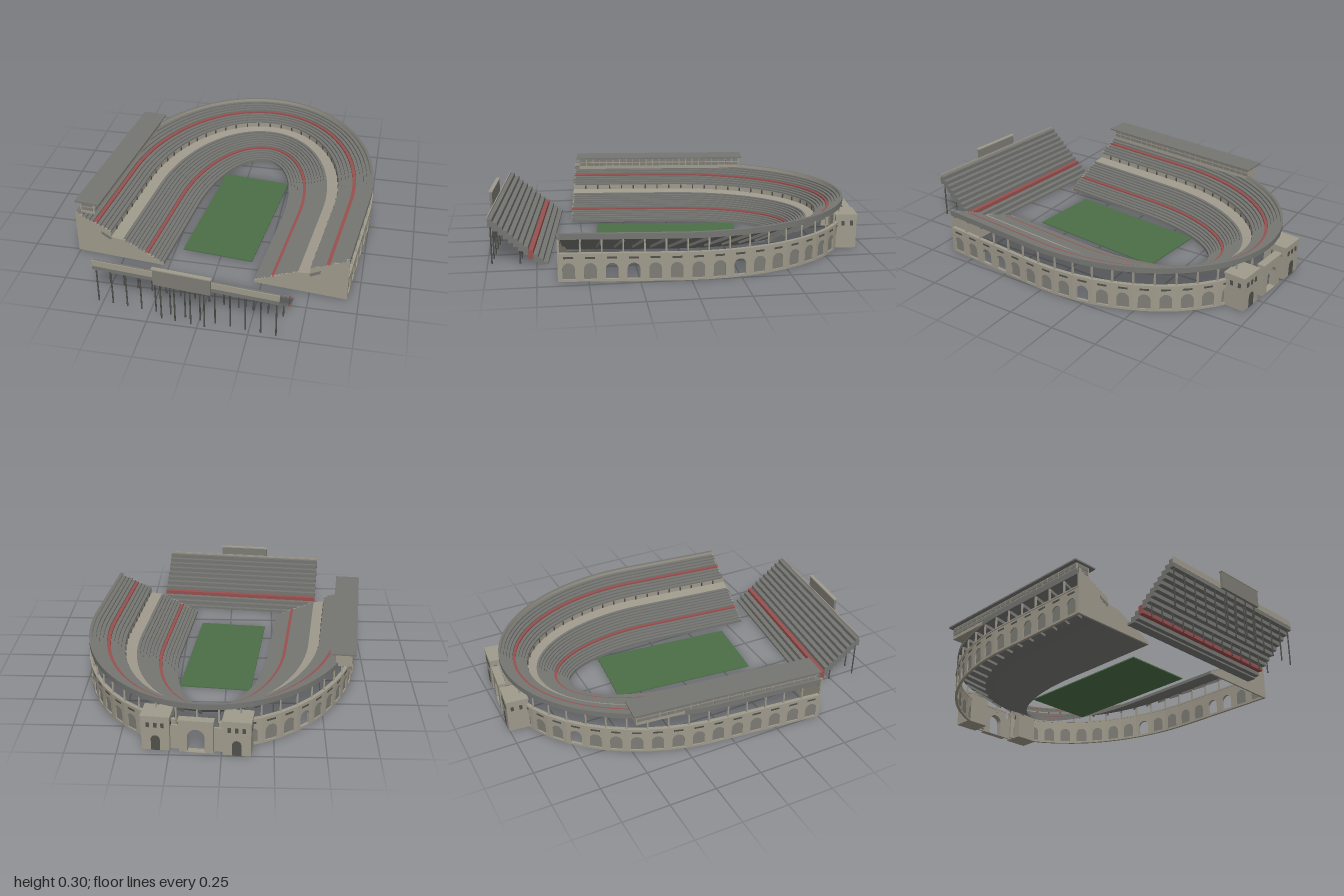
import * as THREE from 'three';

const mat = (name, color) => {
  const m = new THREE.MeshStandardMaterial({ color });
  m.name = name;
  return m;
};

export function createModel() {
  const seat = mat('seat grey', 0x757572);
  const concrete = mat('concrete', 0x9f9a8c);
  const red = mat('red row', 0x97504e);
  const grass = mat('grass', 0x4c6f48);
  const dark = mat('dark opening', 0x50504b);
  const panel = mat('panel grey', 0x7d7c75);
  const model = new THREE.Group();
  const site = new THREE.Group();
  site.name = 'stadium';
  site.position.set(0.023, 0, 0.002);
  site.rotation.y = -0.1;
  model.add(site);

  const add = (parent, name, geo, m, x = 0, y = 0, z = 0) => {
    const mesh = new THREE.Mesh(geo, m);
    mesh.name = name;
    mesh.position.set(x, y, z);
    parent.add(mesh);
    return mesh;
  };
  // Box given by its limits
  const box = (parent, name, m, x0, x1, y0, y1, z0, z1) =>
    add(parent, name, new THREE.BoxGeometry(x1 - x0, y1 - y0, z1 - z0), m,
      (x0 + x1) / 2, (y0 + y1) / 2, (z0 + z1) / 2);

  // Horseshoe plan: t = 0 at the inner edge, 1 at the outer edge
  const END = 0.576, N = 72;
  const halfW = t => 0.246 + 0.483 * t;
  const ring = t => {
    const a = halfW(t), b = 0.58 + 0.365 * t, pts = [[-a, END]];
    for (let i = 0; i <= N; i++) {
      const f = Math.PI * i / N;
      pts.push([-a * Math.cos(f), -b * Math.sin(f)]);
    }
    pts.push([a, END]);
    return pts;
  };

  // Sweep a list of profile segments [t0, y0, t1, y1] round the horseshoe
  const sweep = (name, segs, m) => {
    const pos = [], idx = [];
    for (const [t0, y0, t1, y1] of segs) {
      const base = pos.length / 3, r0 = ring(t0), r1 = ring(t1), n = r0.length;
      r0.forEach(p => pos.push(p[0], y0, p[1]));
      r1.forEach(p => pos.push(p[0], y1, p[1]));
      for (let i = 0; i < n - 1; i++) {
        const a = base + i, c = a + n;
        idx.push(a, a + 1, c, a + 1, c + 1, c);
      }
    }
    const g = new THREE.BufferGeometry();
    g.setAttribute('position', new THREE.Float32BufferAttribute(pos, 3));
    g.setIndex(idx);
    g.computeVertexNormals();
    add(site, name, g, m);
  };

  // Seating profile: lower rows, walkway, wall, upper rows, rim
  const grey = [], redSegs = [], beige = [], outline = [[0, 0]];
  const to = (list, t, y) => {
    list.push([...outline[outline.length - 1], t, y]);
    outline.push([t, y]);
  };
  const rows = (n, t0, t1, y0, y1, redRow) => {
    for (let i = 0; i < n; i++) {
      const list = i === redRow ? redSegs : grey;
      to(list, t0 + (t1 - t0) * i / n, y0 + (y1 - y0) * (i + 1) / n);
      to(list, t0 + (t1 - t0) * (i + 1) / n, y0 + (y1 - y0) * (i + 1) / n);
    }
  };
  rows(13, 0, 0.47, 0.008, 0.115, 5);
  to(beige, 0.6, 0.122);
  to(beige, 0.6, 0.148);
  rows(9, 0.6, 0.965, 0.148, 0.228, 4);
  to(beige, 0.965, 0.245);
  to(grey, 1, 0.245);
  const endOutline = outline.slice();
  to(grey, 1, 0.215);
  to(grey, 0.965, 0.215);
  to(grey, 0.6, 0.116);
  to(grey, 0.47, 0.1);
  to(grey, 0, 0);
  sweep('seatingBowl', grey, seat);
  sweep('redRows', redSegs, red);
  sweep('walkway', beige, concrete);

  // End walls closing the two arms
  for (const s of [-1, 1]) {
    const shape = new THREE.Shape();
    shape.moveTo(s * halfW(1), 0);
    endOutline.forEach(([t, y]) => shape.lineTo(s * halfW(t), y));
    add(site, 'endWall', new THREE.ExtrudeGeometry(shape, { depth: 0.01, bevelEnabled: false }),
      concrete, 0, 0, END - 0.009);
  }

  // Evenly spaced stations along a ring
  const stations = (t, n) => {
    const path = new THREE.CurvePath();
    const pts = ring(t).map(p => new THREE.Vector3(p[0], 0, p[1]));
    for (let i = 1; i < pts.length; i++) path.add(new THREE.LineCurve3(pts[i - 1], pts[i]));
    return path.getSpacedPoints(n);
  };

  // Portals in the wall above the walkway
  const wall = stations(0.597, 45);
  for (let i = 1; i < 45; i++) {
    const d = wall[i + 1].clone().sub(wall[i - 1]);
    const p = add(site, 'portal', new THREE.BoxGeometry(0.008, 0.022, 0.006), dark,
      wall[i].x, 0.135, wall[i].z);
    p.rotation.y = Math.atan2(-d.z, d.x);
  }

  // Arcade: one arched bay repeated round the outside
  const BAYS = 36, outer = stations(1, BAYS), inner = stations(0.6, BAYS);
  const openBays = [12, 27, 32, 33];
  const archPath = (path, c, w, y0, y1) => {
    path.moveTo(c - w, y0);
    path.lineTo(c + w, y0);
    path.lineTo(c + w, y1);
    path.absarc(c, y1, w, 0, Math.PI, false);
    path.lineTo(c - w, y0);
    return path;
  };
  for (let i = 0; i < BAYS; i++) {
    const P = outer[i], Q = outer[i + 1], d = P.clone().sub(Q), w = d.length();
    if (Math.abs(P.x + Q.x) / 2 < 0.09) continue;
    const bay = new THREE.Group();
    bay.name = 'arcadeBay';
    bay.position.copy(Q);
    bay.rotation.y = Math.atan2(-d.z, d.x);
    site.add(bay);
    const shape = new THREE.Shape([[0, 0], [w, 0], [w, 0.14], [0, 0.14]].map(p => new THREE.Vector2(...p)));
    shape.holes.push(archPath(new THREE.Path(), w / 2, 0.031, 0.012, 0.064));
    add(bay, 'archWall', new THREE.ExtrudeGeometry(shape, { depth: 0.014, bevelEnabled: false, curveSegments: 8 }),
      concrete, 0, 0, -0.014);
    if (!openBays.includes(i)) box(bay, 'archPanel', panel, w / 2 - 0.034, w / 2 + 0.034, 0.008, 0.1, -0.013, -0.007);
    box(bay, 'slitWindow', dark, w / 2 - 0.024, w / 2 + 0.024, 0.117, 0.127, -0.003, 0.001);
    box(bay, 'cornice', concrete, 0, w, 0.138, 0.146, -0.016, 0.004);
  }
  // Posts and raking beams carrying the upper deck
  outer.forEach((p, i) => {
    box(site, 'post', concrete, p.x * 0.99 - 0.004, p.x * 0.99 + 0.004, 0.14, 0.217, p.z * 0.99 - 0.004, p.z * 0.99 + 0.004);
    const A = inner[i].clone().setY(0.112), B = p.clone().multiplyScalar(0.985).setY(0.209);
    const beam = add(site, 'rakingBeam', new THREE.BoxGeometry(0.007, 0.016, A.distanceTo(B)), seat);
    beam.position.copy(A).add(B).multiplyScalar(0.5);
    beam.rotation.order = 'YXZ';
    const v = B.sub(A);
    beam.rotation.set(-Math.atan2(v.y, Math.hypot(v.x, v.z)), Math.atan2(v.x, v.z), 0);
  });

  // Entrance: two towers and an arched gate at the closed end
  for (const s of [-1, 1]) {
    const t = new THREE.Group();
    t.name = 'entranceTower';
    t.position.x = s * 0.195;
    site.add(t);
    box(t, 'towerBlock', concrete, -0.068, 0.068, 0, 0.178, -0.983, -0.87);
    box(t, 'towerCap', concrete, -0.071, 0.071, 0.176, 0.185, -0.986, -0.867);
    const door = add(t, 'towerDoor', new THREE.ShapeGeometry(archPath(new THREE.Shape(), 0, 0.022, 0, 0.06)), dark, 0, 0, -0.985);
    door.rotation.y = Math.PI;
    for (const x of [-0.035, 0, 0.035]) box(t, 'towerWindow', dark, x - 0.008, x + 0.008, 0.125, 0.15, -0.986, -0.98);
    for (const e of [-1, 1]) for (const z of [-0.955, -0.91])
      box(t, 'sideWindow', dark, e * 0.068 - 0.002, e * 0.068 + 0.002, 0.125, 0.15, z - 0.008, z + 0.008);
  }
  const gate = new THREE.Shape([[-0.083, 0], [0.083, 0], [0.083, 0.168], [-0.083, 0.168]].map(p => new THREE.Vector2(...p)));
  gate.holes.push(archPath(new THREE.Path(), 0, 0.042, 0.002, 0.085));
  add(site, 'gate', new THREE.ExtrudeGeometry(gate, { depth: 0.035, bevelEnabled: false }), concrete, 0, 0, -0.983);
  box(site, 'gateCap', concrete, -0.086, 0.086, 0.166, 0.175, -0.986, -0.945);
  for (const s of [-1, 1]) box(site, 'gateLink', concrete, s * 0.105 - 0.024, s * 0.105 + 0.024, 0, 0.13, -0.96, -0.95);

  // Press box with its long roof
  box(site, 'pressBox', concrete, -0.715, -0.632, 0.225, 0.292, -0.44, 0.545);
  box(site, 'pressRoof', seat, -0.737, -0.602, 0.292, 0.3, -0.456, 0.56);
  for (const [y0, y1] of [[0.245, 0.262], [0.268, 0.286]]) {
    box(site, 'pressEndWindow', panel, -0.705, -0.642, y0, y1, 0.542, 0.548);
    for (let i = 0; i < 24; i++) {
      const z = -0.435 + i * 0.0408;
      for (const x of [-0.715, -0.632]) box(site, 'pressWindow', panel, x - 0.003, x + 0.003, y0, y1, z, z + 0.036);
    }
  }

  // Field
  box(site, 'field', grass, -0.191, 0.191, 0, 0.006, -0.362, 0.42);

  // Detached end stand: stepped rows on posts
  const ROWS = 12, run = 0.301 / ROWS;
  for (let i = 0; i < ROWS; i++) {
    const y = 0.012 + 0.233 * i / (ROWS - 1), z = 0.646 + i * run;
    box(site, 'standRow', i === 3 ? red : seat, -0.472, 0.472, Math.max(0, y - 0.045), y, z, z + run);
  }
  box(site, 'standBackWall', concrete, -0.472, 0.472, 0.222, 0.255, 0.943, 0.948);
  for (let i = 0; i < 13; i++) {
    const x = -0.456 + i * 0.076;
    for (const [z, h] of [[0.935, 0.21], [0.79, 0.085]])
      add(site, 'standPost', new THREE.CylinderGeometry(0.004, 0.004, h, 6), dark, x, h / 2, z);
  }

  // Scoreboard behind the stand
  box(site, 'scoreboard', panel, -0.144, 0.144, 0.205, 0.296, 0.966, 0.98);
  box(site, 'scoreboardCap', concrete, -0.149, 0.149, 0.294, 0.3, 0.963, 0.983);
  for (const x of [-0.11, -0.04, 0.04, 0.11])
    add(site, 'scoreboardPost', new THREE.CylinderGeometry(0.004, 0.004, 0.21, 6), dark, x, 0.105, 0.973);

  return model;
}
